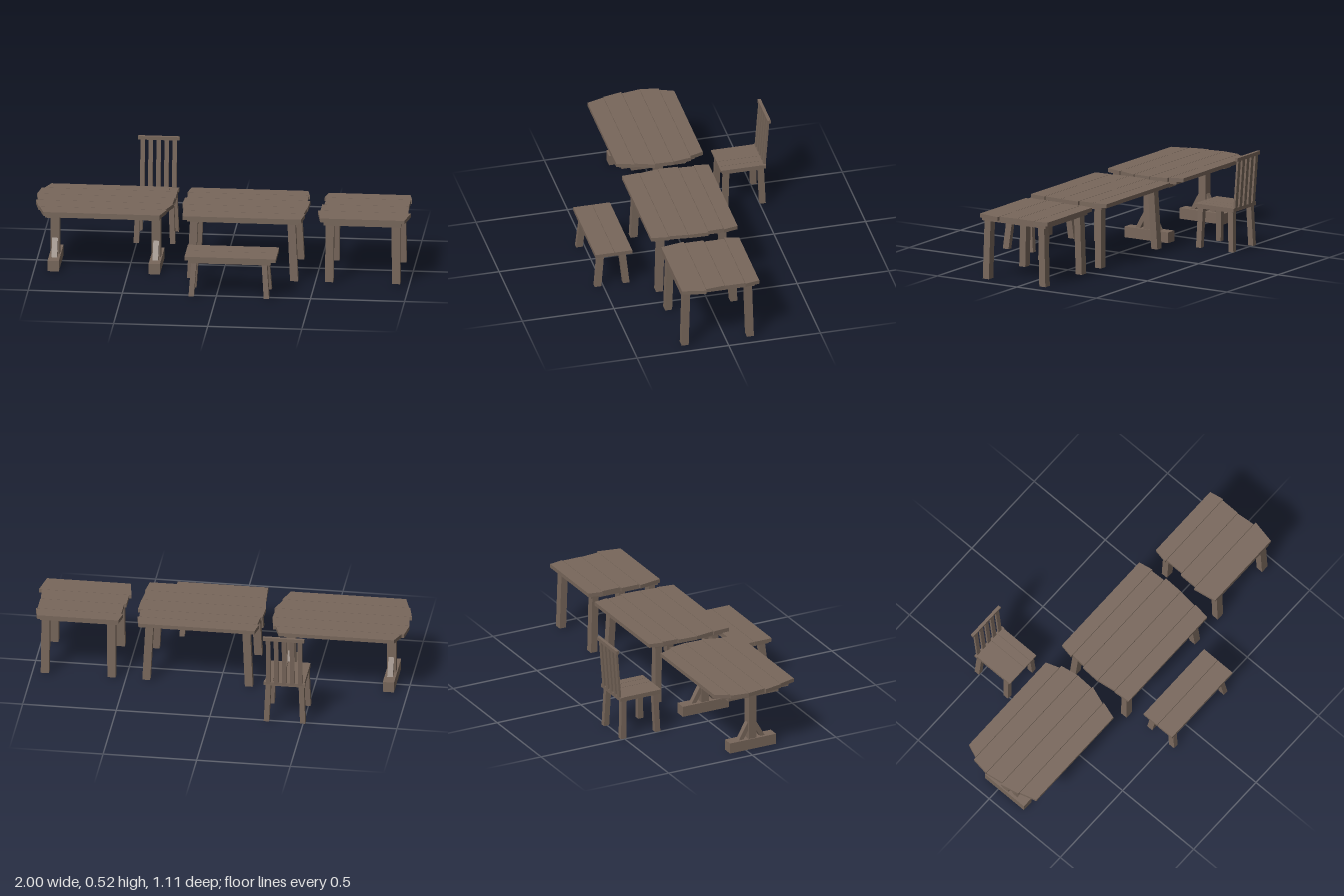
import * as THREE from 'three';

const wood = new THREE.MeshStandardMaterial({ color: 0x78675b });
wood.name = 'brownWood';

function add(parent, name, geometry) {
  const mesh = new THREE.Mesh(geometry, wood);
  mesh.name = name;
  parent.add(mesh);
  return mesh;
}

// Box given by its extents
function box(parent, name, x0, x1, y0, y1, z0, z1) {
  const mesh = add(parent, name, new THREE.BoxGeometry(x1 - x0, y1 - y0, z1 - z0));
  mesh.position.set((x0 + x1) / 2, (y0 + y1) / 2, (z0 + z1) / 2);
  return mesh;
}

// Post with level ends, leaning from a foot centre to a top centre
function post(parent, name, foot, top, w, d) {
  const g = new THREE.BoxGeometry(w, 1, d);
  const p = g.attributes.position;
  for (let i = 0; i < p.count; i++) {
    const end = p.getY(i) > 0 ? top : foot;
    p.setXYZ(i, p.getX(i) + end[0], end[1], p.getZ(i) + end[2]);
  }
  g.computeVertexNormals();
  return add(parent, name, g);
}

// Board along x whose ends are cut at a slant: back and front edges are [left, right]
function plank(parent, z0, z1, back, front, y0, y1) {
  const g = new THREE.BoxGeometry(1, 1, 1);
  const p = g.attributes.position;
  for (let i = 0; i < p.count; i++) {
    const edge = p.getZ(i) < 0 ? back : front;
    p.setXYZ(i, edge[p.getX(i) < 0 ? 0 : 1], p.getY(i) < 0 ? y0 : y1, p.getZ(i) < 0 ? z0 + 0.001 : z1 - 0.001);
  }
  g.computeVertexNormals();
  return add(parent, 'plank', g);
}

// Four rails around a rectangle
function frame(parent, x0, x1, y0, y1, z0, z1, t) {
  box(parent, 'frontRail', x0, x1, y0, y1, z1 - t, z1);
  box(parent, 'backRail', x0, x1, y0, y1, z0, z0 + t);
  box(parent, 'sideRail', x0, x0 + t, y0, y1, z0 + t, z1 - t);
  box(parent, 'sideRail', x1 - t, x1, y0, y1, z0 + t, z1 - t);
}

// Four legs around a centre; half spacings at foot and top
function legs(parent, cx, cz, foot, top, y0, y1, w, d) {
  for (const sx of [-1, 1]) for (const sz of [-1, 1]) {
    post(parent, 'leg', [cx + sx * foot[0], y0, cz + sz * foot[1]],
      [cx + sx * top[0], y1, cz + sz * top[1]], w, d);
  }
}

function group(parent, name) {
  const g = new THREE.Group();
  g.name = name;
  parent.add(g);
  return g;
}

function tableTop(parent, rows) {
  const top = group(parent, 'tableTop');
  for (const [z0, z1, back, front] of rows) plank(top, z0, z1, back, front, 0.343, 0.364);
}

function trestleTable(root) {
  const t = group(root, 'trestleTable');
  tableTop(t, [
    [-0.195, -0.12, [-0.94, -0.325], [-0.97, -0.3]],
    [-0.12, -0.02, [-0.985, -0.285], [-1, -0.268]],
    [-0.02, 0.08, [-1, -0.268], [-0.985, -0.272]],
    [0.08, 0.185, [-0.998, -0.264], [-0.975, -0.3]],
    [0.185, 0.28, [-0.968, -0.293], [-0.94, -0.322]],
  ]);
  frame(t, -0.935, -0.325, 0.325, 0.343, -0.15, 0.25, 0.025);
  for (const x of [-0.897, -0.36]) {
    const s = group(t, 'trestle');
    box(s, 'foot', x - 0.03, x + 0.03, 0, 0.058, -0.095, 0.18);
    box(s, 'column', x - 0.024, x + 0.024, 0.058, 0.303, 0.02, 0.065);
    box(s, 'topBeam', x - 0.03, x + 0.03, 0.303, 0.343, -0.105, 0.195);
    // Slanted braces between foot and column
    for (const side of [-1, 1]) {
      post(s, 'brace', [x, 0.058, 0.043 + side * 0.063], [x, 0.15, 0.043 + side * 0.011], 0.03, 0.028);
    }
  }
}

function longTable(root) {
  const t = group(root, 'longTable');
  tableTop(t, [
    [-0.195, -0.115, [-0.195, 0.425], [-0.21, 0.44]],
    [-0.115, -0.03, [-0.2, 0.432], [-0.205, 0.436]],
    [-0.03, 0.08, [-0.215, 0.45], [-0.22, 0.447]],
    [0.08, 0.185, [-0.218, 0.445], [-0.203, 0.435]],
    [0.185, 0.28, [-0.207, 0.442], [-0.2, 0.43]],
  ]);
  frame(t, -0.18, 0.41, 0.325, 0.343, -0.152, 0.252, 0.025);
  legs(t, 0.115, 0.048, [0.274, 0.18], [0.258, 0.168], 0.008, 0.343, 0.042, 0.038);
}

function smallTable(root) {
  const t = group(root, 'smallTable');
  tableTop(t, [
    [-0.175, -0.095, [0.535, 0.97], [0.52, 0.985]],
    [-0.095, 0.015, [0.53, 0.978], [0.53, 0.978]],
    [0.015, 0.12, [0.518, 0.975], [0.518, 0.985]],
    [0.12, 0.25, [0.505, 1], [0.528, 0.975]],
  ]);
  frame(t, 0.545, 0.957, 0.325, 0.343, -0.152, 0.248, 0.025);
  legs(t, 0.753, 0.048, [0.178, 0.178], [0.175, 0.168], 0.008, 0.343, 0.044, 0.038);
}

function bench(root) {
  const b = group(root, 'bench');
  plank(b, 0.353, 0.45, [-0.165, 0.32], [-0.165, 0.32], 0.212, 0.232);
  plank(b, 0.45, 0.555, [-0.165, 0.32], [-0.165, 0.32], 0.212, 0.232);
  frame(b, -0.14, 0.292, 0.195, 0.212, 0.363, 0.548, 0.02);
  legs(b, 0.07, 0.455, [0.2, 0.077], [0.186, 0.057], 0.009, 0.212, 0.028, 0.036);
}

function chair(root) {
  const c = group(root, 'chair');
  // Seat boards run front to back
  for (const [x0, x1] of [[-0.508, -0.391], [-0.389, -0.341], [-0.339, -0.296]]) {
    box(c, 'seatBoard', x0, x1, 0.235, 0.246, -0.525, -0.286);
  }
  frame(c, -0.508, -0.296, 0.222, 0.235, -0.52, -0.294, 0.018);
  legs(c, -0.403, -0.412, [0.097, 0.102], [0.088, 0.094], 0.009, 0.235, 0.028, 0.031);
  // Leaning back with slats
  box(c, 'lowerBackRail', -0.512, -0.292, 0.226, 0.246, -0.532, -0.514);
  for (let i = 0; i < 5; i++) {
    const x = -0.488 + i * 0.0425;
    post(c, 'backSlat', [x, 0.235, -0.526], [x, 0.507, -0.547], 0.024, 0.012);
  }
  box(c, 'topRail', -0.512, -0.292, 0.504, 0.523, -0.557, -0.54);
}

export function createModel() {
  const root = new THREE.Group();
  root.name = 'woodenFurnitureSet';
  trestleTable(root);
  longTable(root);
  smallTable(root);
  bench(root);
  chair(root);
  return root;
}
